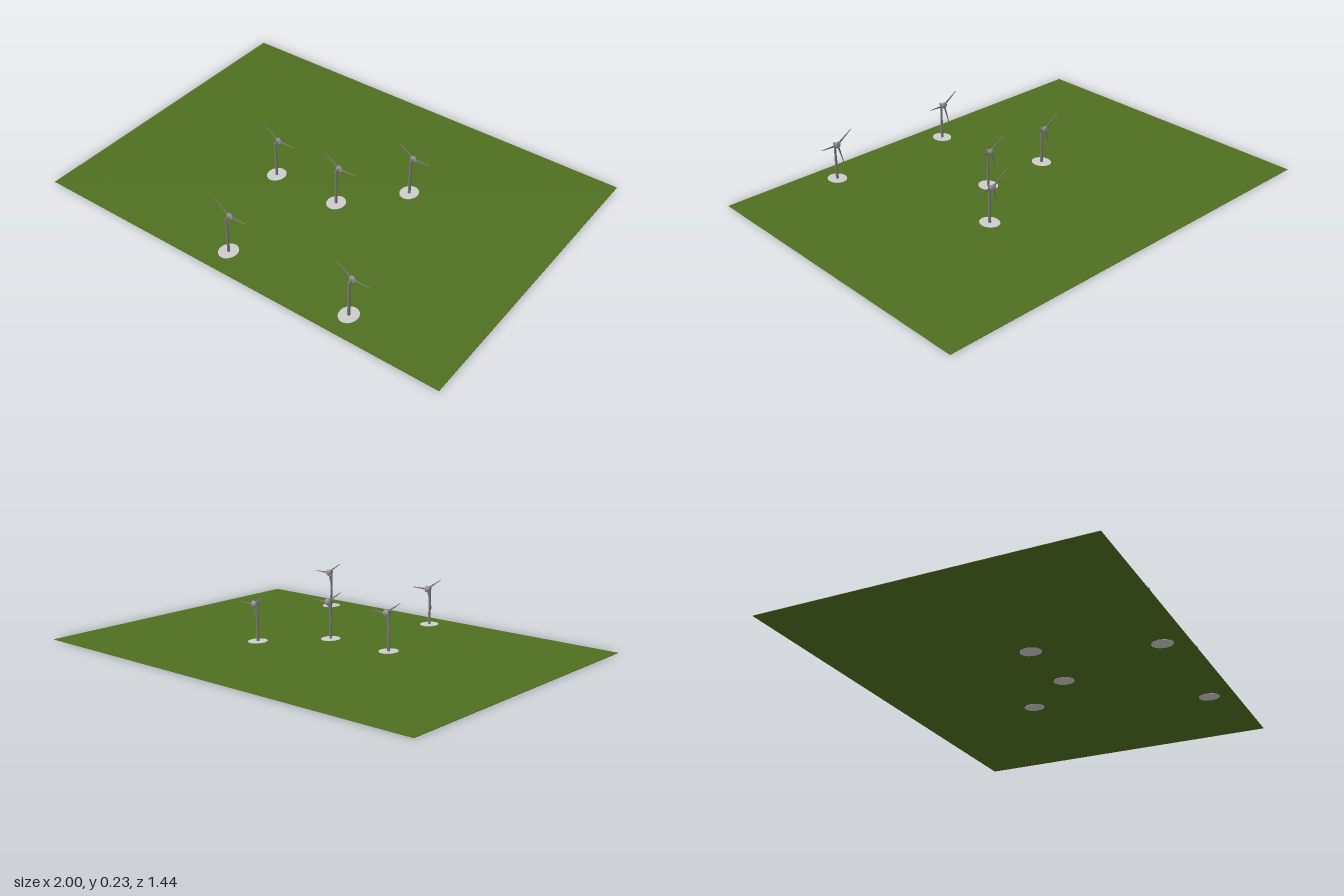
import * as THREE from 'three';

const mat = (name, color) => {
  const m = new THREE.MeshStandardMaterial({ color });
  m.name = name;
  return m;
};

export function createModel() {
  const grass = mat('grass green', 0x507020);
  const concrete = mat('concrete grey', 0xcccccc);
  const steel = mat('steel grey', 0x7c7a7e);
  const hubGrey = mat('hub grey', 0x99979b);

  const model = new THREE.Group();
  model.name = 'windFarm';

  const add = (parent, name, geometry, material, x = 0, y = 0, z = 0) => {
    const mesh = new THREE.Mesh(geometry, material);
    mesh.name = name;
    mesh.position.set(x, y, z);
    parent.add(mesh);
    return mesh;
  };

  // Flat field; the pads reach just through its underside
  add(model, 'ground', new THREE.BoxGeometry(2, 0.0015, 1.44), grass, 0, 0.00155, 0);

  // Round pad, slightly longer in z
  const padGeo = new THREE.CylinderGeometry(0.041, 0.041, 0.004, 20);
  padGeo.scale(1, 1, 1.15);

  const towerGeo = new THREE.CylinderGeometry(0.0045, 0.0065, 0.172, 12);
  const nacelleGeo = new THREE.BoxGeometry(0.007, 0.008, 0.032);

  // Domed hub with its nose towards -z
  const hubProfile = [[0, -0.004], [0.013, -0.004], [0.016, 0], [0.0145, 0.004], [0.009, 0.008], [0, 0.01]];
  const hubGeo = new THREE.LatheGeometry(hubProfile.map(([r, h]) => new THREE.Vector2(r, h)), 16);
  hubGeo.rotateX(-Math.PI / 2);

  // Tapered blade of unit length along +x
  const bladeShape = new THREE.Shape();
  bladeShape.moveTo(0, -0.0025);
  bladeShape.lineTo(0.22, -0.0045);
  bladeShape.lineTo(1, -0.0008);
  bladeShape.lineTo(1, 0.0008);
  bladeShape.lineTo(0.22, 0.003);
  bladeShape.lineTo(0, 0.0025);
  const bladeGeo = new THREE.ExtrudeGeometry(bladeShape, { depth: 0.003, bevelEnabled: false });
  bladeGeo.translate(0, 0, -0.0015);

  // Blade angle in degrees and length
  const blades = [[0, 0.082], [145, 0.091], [254, 0.094]];

  const sites = [[-0.25, 0.097], [-0.09, 0.607], [0.078, 0.097], [0.292, -0.147], [0.518, 0.607]];
  for (const [x, z] of sites) {
    const turbine = new THREE.Group();
    turbine.name = 'turbine';
    turbine.position.set(x, 0, z);
    model.add(turbine);

    add(turbine, 'pad', padGeo, concrete, 0, 0.002, 0);
    add(turbine, 'tower', towerGeo, steel, 0, 0.088, 0);
    add(turbine, 'nacelle', nacelleGeo, steel, 0, 0.173, -0.009);

    const rotor = new THREE.Group();
    rotor.name = 'rotor';
    rotor.position.set(0, 0.174, -0.021);
    turbine.add(rotor);
    add(rotor, 'hub', hubGeo, hubGrey);
    for (const [angle, length] of blades) {
      const blade = add(rotor, 'blade', bladeGeo, steel);
      blade.scale.x = length;
      blade.rotation.z = THREE.MathUtils.degToRad(angle);
    }
  }
  return model;
}
